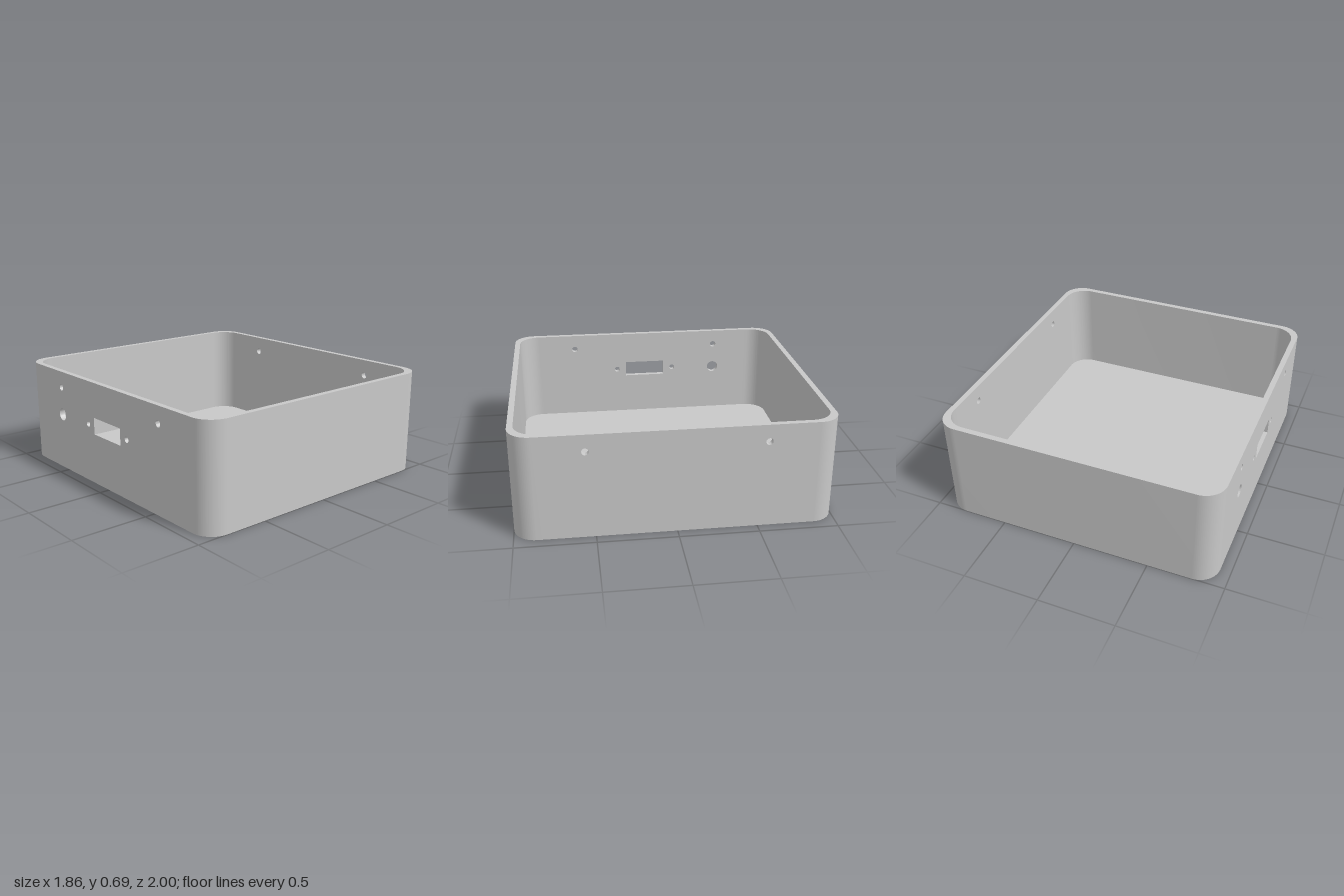
import * as THREE from 'three';
import { toCreasedNormals } from 'three/addons/utils/BufferGeometryUtils.js';

const W = 0.93, D = 1, H = 0.685;   // half width, half depth, height
const T = 0.037, R = 0.14;          // wall thickness, corner radius
const SPLIT = 0.8;                  // where the side panels meet the rounded ends

export function createModel() {
  const model = new THREE.Group();
  model.name = 'openEnclosure';
  const grey = new THREE.MeshStandardMaterial({ color: 0xc8c8c8 });
  grey.name = 'grey plastic';

  const extrude = (shape, depth) =>
    new THREE.ExtrudeGeometry(shape, { depth, bevelEnabled: false, curveSegments: 20 });

  const add = (name, geometry) => {
    const mesh = new THREE.Mesh(toCreasedNormals(geometry, 0.5), grey);
    mesh.name = name;
    model.add(mesh);
    return mesh;
  };

  // Rounded end: a U in plan, with both corners and one end wall
  const w = W - T, d = D - T;
  const end = new THREE.Shape();
  end.moveTo(W, SPLIT);
  end.lineTo(W, D - R);
  end.absarc(W - R, D - R, R, 0, Math.PI / 2, false);
  end.lineTo(-W + R, D);
  end.absarc(-W + R, D - R, R, Math.PI / 2, Math.PI, false);
  end.lineTo(-W, SPLIT);
  end.lineTo(-w, SPLIT);
  end.lineTo(-w, d - R);
  end.absarc(-w + R, d - R, R, Math.PI, Math.PI / 2, true);
  end.lineTo(w - R, d);
  end.absarc(w - R, d - R, R, Math.PI / 2, 0, true);
  end.lineTo(w, SPLIT);
  const endGeometry = extrude(end, H).rotateX(-Math.PI / 2);
  add('backWall', endGeometry);
  add('frontWall', endGeometry).rotation.y = Math.PI;

  // Floor filling the inside of the walls
  const floor = new THREE.Shape();
  floor.absarc(w - R, d - R, R, 0, Math.PI / 2, false);
  floor.absarc(-w + R, d - R, R, Math.PI / 2, Math.PI, false);
  floor.absarc(-w + R, -d + R, R, Math.PI, Math.PI * 1.5, false);
  floor.absarc(w - R, -d + R, R, Math.PI * 1.5, Math.PI * 2, false);
  add('floor', extrude(floor, T).rotateX(-Math.PI / 2));

  // Side panels, drawn with u = -z and v = y
  const rectangle = (Path, u0, v0, u1, v1) =>
    new Path([[u0, v0], [u1, v0], [u1, v1], [u0, v1]].map(p => new THREE.Vector2(...p)));
  const sidePanel = (name, x, roundHoles, slots = []) => {
    const shape = rectangle(THREE.Shape, -SPLIT, 0, SPLIT, H);
    for (const [z, y, r] of roundHoles) {
      shape.holes.push(new THREE.Path().absarc(-z, y, r, 0, Math.PI * 2, true));
    }
    for (const [z, y, halfZ, halfY] of slots) {
      shape.holes.push(rectangle(THREE.Path, -z - halfZ, y - halfY, -z + halfZ, y + halfY));
    }
    add(name, extrude(shape, T).rotateY(Math.PI / 2).translate(x, 0, 0));
  };

  const lidScrews = [[0.55, 0.575, 0.022], [-0.55, 0.575, 0.022]];
  sidePanel('leftWall', W - T, lidScrews);

  // Connector side: slot, its two screw holes and a cable hole
  sidePanel('rightWall', -W, [
    ...lidScrews,
    [0.22, 0.395, 0.02], [-0.22, 0.395, 0.02],
    [-0.55, 0.385, 0.042],
  ], [[0, 0.395, 0.15, 0.056]]);

  return model;
}
